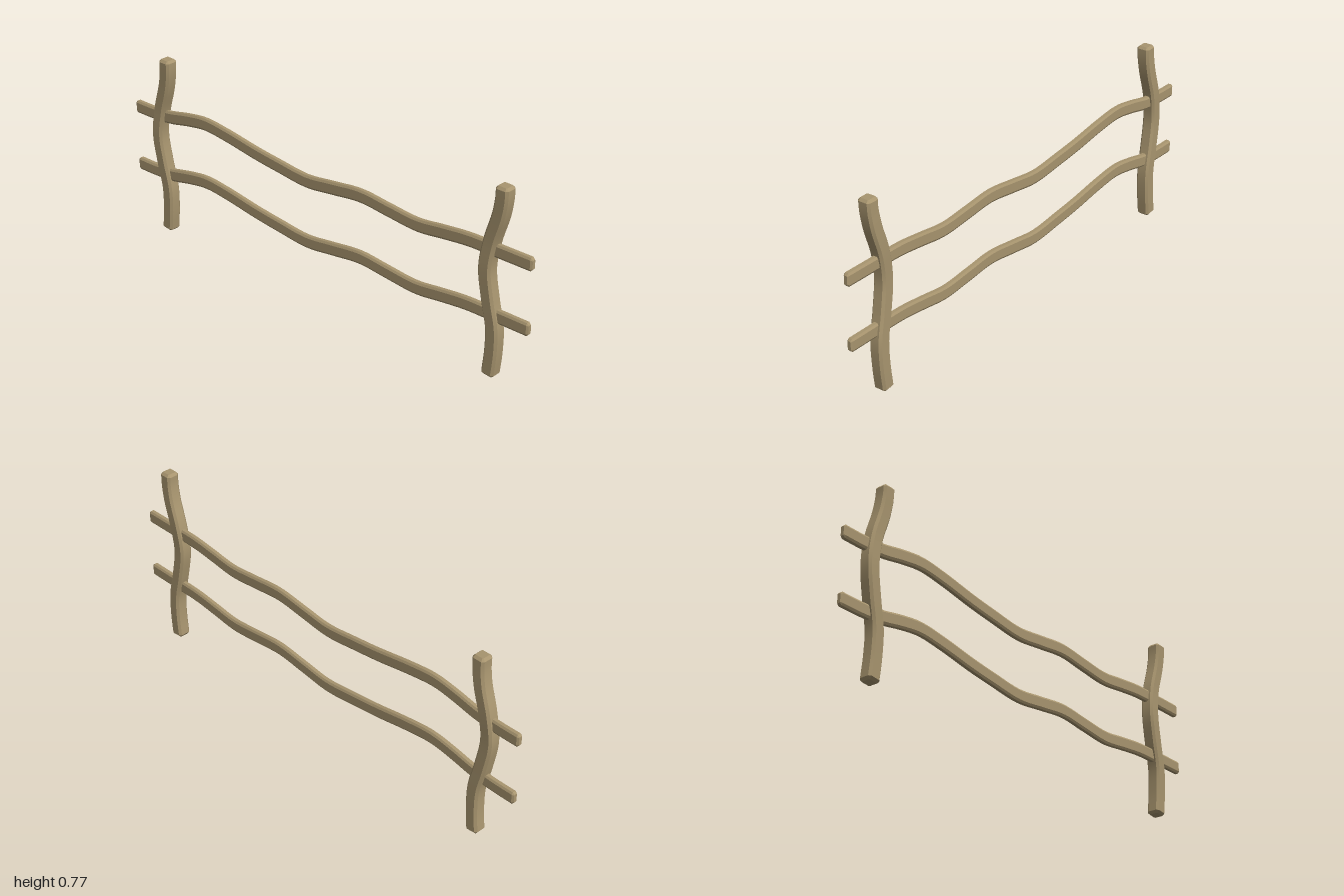
import * as THREE from 'three';
import { toCreasedNormals } from 'three/addons/utils/BufferGeometryUtils.js';

const wood = new THREE.MeshStandardMaterial({ color: 0xa8956f });

// Chamfered rectangle (half sizes w, h; chamfers cx, cy), counter-clockwise
const section = (w, h, cx, cy) => [
  [w, -h + cy], [w, h - cy], [w - cx, h], [-w + cx, h],
  [-w, h - cy], [-w, -h + cy], [-w + cx, -h], [w - cx, -h],
];

// Sweep a chamfered section along a curve, with chamfered ends
function beam(points, w, h, cx, cy, endChamfer, steps) {
  const curve = new THREE.CatmullRomCurve3(points.map((p) => new THREE.Vector3(...p)));
  const inset = endChamfer / curve.getLength();
  const full = section(w, h, cx, cy);
  const small = section(w - cx, h - cy, cx * 0.3, cy * 0.3);
  const rings = [[0, small]];
  for (let i = 0; i <= steps; i++) rings.push([inset + (1 - 2 * inset) * (i / steps), full]);
  rings.push([1, small]);

  const pos = [], index = [], side = new THREE.Vector3(1, 0, 0);
  for (const [u, ring] of rings) {
    const c = curve.getPointAt(u);
    const up = curve.getTangentAt(u).cross(side).normalize();
    for (const [a, b] of ring) pos.push(c.x + a, c.y + up.y * b, c.z + up.z * b);
  }
  for (let i = 0; i < rings.length - 1; i++) {
    for (let j = 0; j < 8; j++) {
      const a = i * 8 + j, b = i * 8 + (j + 1) % 8;
      index.push(a, b, b + 8, a, b + 8, a + 8);
    }
  }
  // End caps
  const last = (rings.length - 1) * 8;
  for (let j = 1; j < 7; j++) {
    index.push(0, j + 1, j);
    index.push(last, last + j, last + j + 1);
  }
  const geo = new THREE.BufferGeometry();
  geo.setAttribute('position', new THREE.Float32BufferAttribute(pos, 3));
  geo.setIndex(index);
  return toCreasedNormals(geo, 0.45);
}

export function createModel() {
  const model = new THREE.Group();
  model.name = 'fence';

  // Two identical crooked posts
  const postGeo = beam([
    [0.004, 0.001, 0.838], [0.003, 0.1, 0.848], [0.001, 0.2, 0.848], [-0.002, 0.31, 0.826],
    [-0.004, 0.43, 0.809], [-0.001, 0.54, 0.823], [-0.002, 0.65, 0.855],
    [-0.004, 0.72, 0.867], [-0.005, 0.767, 0.868],
  ], 0.0275, 0.0275, 0.009, 0.009, 0.01, 36);
  [['frontPost', 0], ['backPost', -1.672]].forEach(([name, z]) => {
    const post = new THREE.Mesh(postGeo, wood);
    post.name = name;
    post.position.z = z;
    model.add(post);
  });

  // Two identical wavy rails
  const railGeo = beam([
    [-1, 0.508], [-0.9, 0.508], [-0.8, 0.515], [-0.7, 0.534], [-0.6, 0.546], [-0.48, 0.534],
    [-0.32, 0.508], [-0.2, 0.493], [-0.05, 0.478], [0.08, 0.492], [0.22, 0.507],
    [0.35, 0.495], [0.49, 0.483], [0.61, 0.496], [0.72, 0.507], [0.85, 0.508], [1, 0.508],
  ].map(([z, y]) => [-0.001, y, z]), 0.012, 0.026, 0.005, 0.008, 0.008, 80);
  [['upperRail', 0], ['lowerRail', -0.257]].forEach(([name, y]) => {
    const rail = new THREE.Mesh(railGeo, wood);
    rail.name = name;
    rail.position.y = y;
    model.add(rail);
  });

  return model;
}
